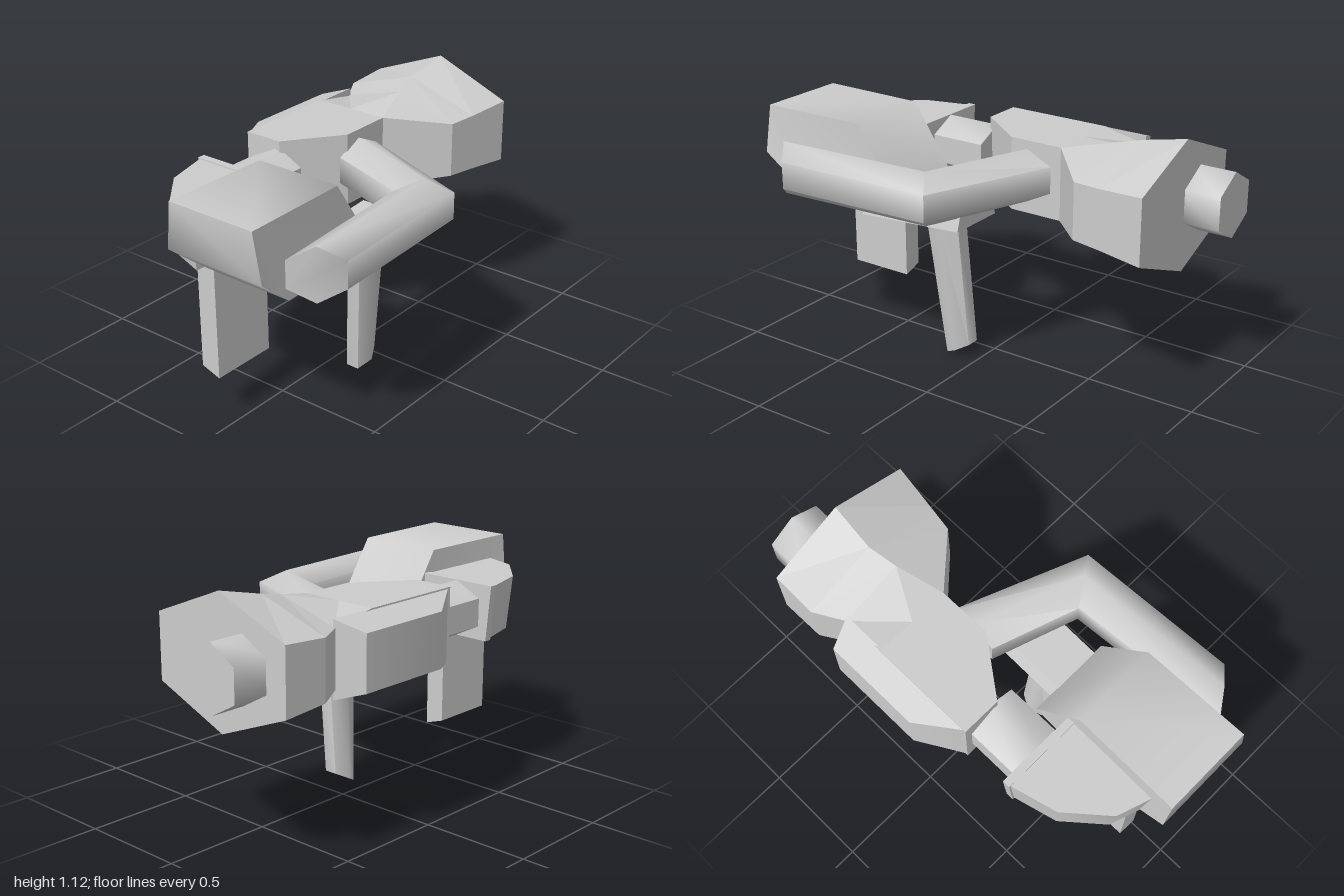
import * as THREE from 'three';
import { toCreasedNormals } from 'three/addons/utils/BufferGeometryUtils.js';

// Skin convex cross-sections (equal point counts), cap both ends and face outward
function loft(sections, crease) {
  const n = sections[0].length, pts = sections.flat(), idx = [];
  for (let s = 0; s < sections.length - 1; s++) {
    for (let i = 0; i < n; i++) {
      const a = s * n + i, b = s * n + (i + 1) % n;
      idx.push(a, b, b + n, a, b + n, a + n);
    }
  }
  const last = (sections.length - 1) * n;
  for (let i = 1; i < n - 1; i++) {
    idx.push(0, i + 1, i, last, last + i, last + i + 1);
  }
  const v = pts.map(p => new THREE.Vector3(...p));
  let volume = 0;
  for (let i = 0; i < idx.length; i += 3) {
    volume += v[idx[i]].dot(v[idx[i + 1]].clone().cross(v[idx[i + 2]]));
  }
  if (volume < 0) idx.reverse();
  const g = new THREE.BufferGeometry();
  g.setAttribute('position', new THREE.Float32BufferAttribute(pts.flat(), 3));
  g.setIndex(idx);
  return toCreasedNormals(g, crease);
}

const FLAT = 0.05, SMOOTH = 1.1;

export function createModel() {
  const model = new THREE.Group();
  model.name = 'blaster';
  const grey = new THREE.MeshStandardMaterial({ color: 0xcccccc });
  grey.name = 'light grey';
  const add = (name, sections, crease) => {
    const mesh = new THREE.Mesh(loft(sections, crease), grey);
    mesh.name = name;
    model.add(mesh);
  };

  // Main body, flaring into a wide six-sided front: x, front z, back z, edge half height, ridge half height
  add('body', [
    [-0.2, -0.25, -0.43, 0.165, 0.165],
    [0.04, -0.07, -0.43, 0.165, 0.165],
    [0.29, -0.07, -0.43, 0.165, 0.165],
    [0.5, 0.16, -0.43, 0.125, 0.21],
    [0.63, 0.18, -0.505, 0.13, 0.24],
    [0.84, 0.21, -0.505, 0.145, 0.288],
  ].map(([x, f, b, e, r]) => {
    const m = (f + b) / 2, c = 0.837;
    return [[x, c + e, f], [x, c + r, m], [x, c + e, b], [x, c - e, b], [x, c - r, m], [x, c - e, f]];
  }), FLAT);

  // Rounded bulge on the back of the body
  add('backBulge', [
    [-0.2, 0.5, -0.42, 0.165],
    [0, 0.45, -0.55, 0.122],
  ].map(([x0, x1, z, h]) => [[x0, 0.833 - h, z], [x1, 0.833 - h, z], [x1, 0.833 + h, z], [x0, 0.833 + h, z]]), 0.9);

  // Six-sided barrel ends
  const hex = (x, ry, rz) => [[0, 1], [1, 0.5], [1, -0.5], [0, -1], [-1, -0.5], [-1, 0.5]]
    .map(([z, y]) => [x, 0.838 + y * ry, -0.273 + z * rz]);
  add('muzzle', [hex(0.8, 0.144, 0.128), hex(1, 0.144, 0.128)], SMOOTH);
  add('rearBarrel', [hex(-0.46, 0.125, 0.125), hex(-0.18, 0.125, 0.125)], SMOOTH);

  // Rear stock with a curved back, narrowing downwards
  const stockOutline = [[-0.91, -0.09], [-0.855, -0.25], [-0.68, -0.4], [-0.47, -0.455], [-0.47, -0.085]];
  add('stock', [[0.72, 0.94], [0.96, 1]].map(([y, s]) =>
    stockOutline.map(([x, z]) => [-0.47 + (x + 0.47) * s, y, -0.085 + (z + 0.085) * s])), 0.6);
  add('stockPlate', [-0.475, -0.44].map(x =>
    [[x, 0.715, -0.08], [x, 0.965, -0.08], [x, 0.965, -0.462], [x, 0.715, -0.44]]), FLAT);

  // Large side housing: x, y, front z, back z
  const housing = [
    [-1, 1.06, 0.32, -0.1], [-0.5, 1.06, 0.31, -0.09], [-0.27, 0.71, 0.31, -0.09],
    [-0.83, 0.71, 0.34, -0.11], [-1, 0.85, 0.36, -0.12],
  ];
  add('sideHousing', [2, 3].map(k => housing.map(p => [p[0], p[1], p[k]])), SMOOTH);

  // Bent six-sided arm linking housing and body: inner x, z and outer x, z
  add('bentArm', [
    [-0.87, 0.36, -0.73, 0.545],
    [-0.13, 0.305, 0.01, 0.51],
    [0, -0.08, 0.24, -0.07],
  ].map(([ix, iz, ox, oz]) => {
    const mx = (ix + ox) / 2, mz = (iz + oz) / 2;
    return [[ix, 0.785, iz], [ix, 0.905, iz], [mx, 0.963, mz],
      [ox, 0.905, oz], [ox, 0.785, oz], [mx, 0.723, mz]];
  }), SMOOTH);

  // Sloping underside plate
  add('gripPlate', [[-0.51, 0.635, 0.7], [0.01, 0.67, 0.735]].map(([x, y0, y1]) =>
    [[x, y0, 0.01], [x, y0, 0.285], [x, y1, 0.265], [x, y1, 0.04]]), FLAT);

  // Slanted front grip with a sloping end
  const ring = [[-1, -0.5], [-1, 0.5], [0, 1], [1, 0.5], [1, -0.5], [0, -1]];
  add('frontGrip', [
    [-0.137, 0.69, 0.172, 0.085, 0.063, 0],
    [-0.1, 0.037, 0.113, 0.06, 0.062, 0.032],
  ].map(([cx, cy, cz, rx, rz, slope]) =>
    ring.map(([x, z]) => [cx + x * rx, cy + x * slope, cz + z * rz])), SMOOTH);

  // Flat rear grip, its end rising towards the back
  add('rearGrip', [[0.72, 0.72], [0.22, 0.25]].map(([yf, yb]) =>
    [[-0.84, yf, -0.04], [-0.535, yf, -0.04], [-0.535, yb, -0.13], [-0.84, yb, -0.13]]), SMOOTH);

  return model;
}
